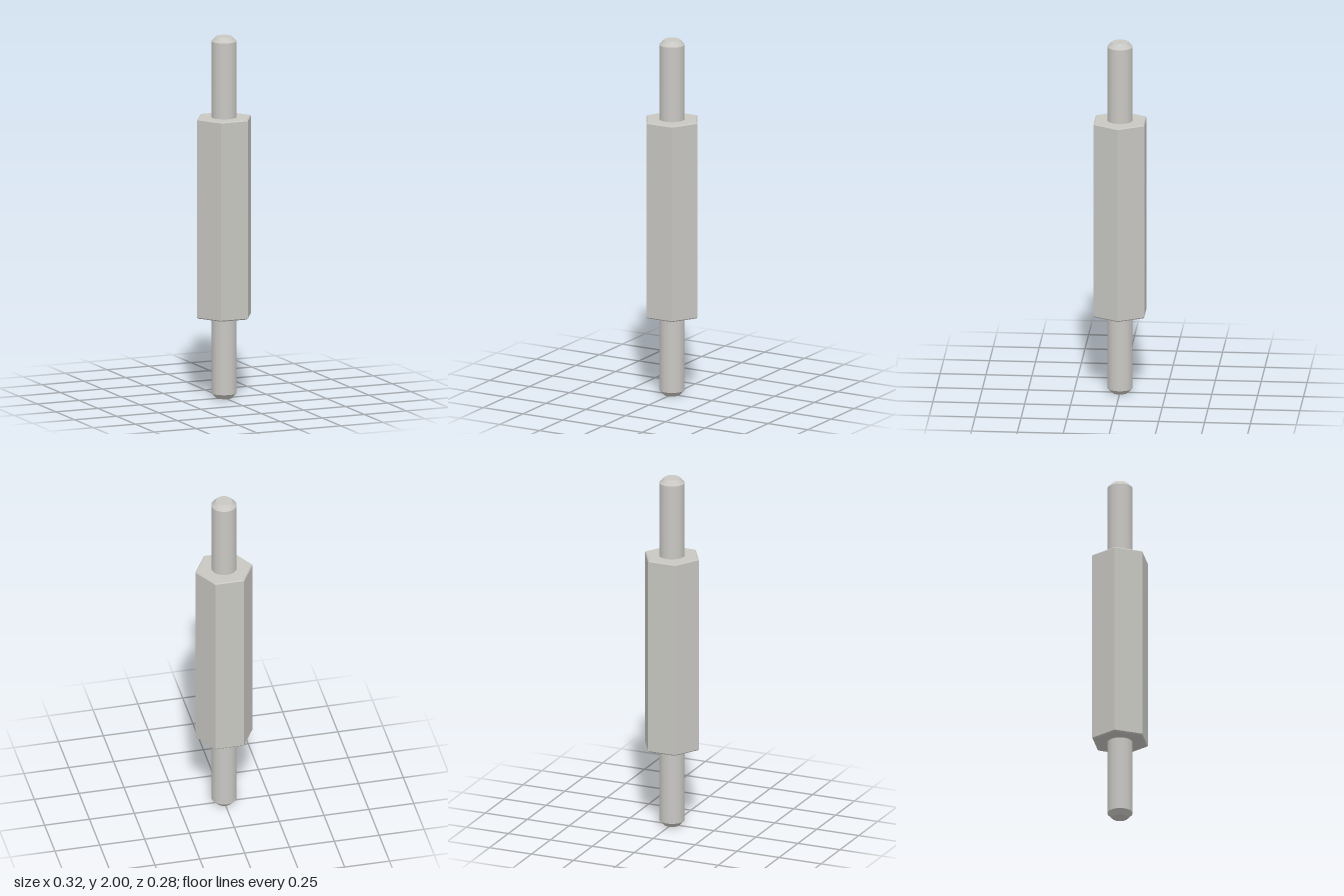
import * as THREE from 'three';
import { mergeGeometries } from 'three/addons/utils/BufferGeometryUtils.js';

// Revolve each profile segment separately so edges along the profile stay crisp
function revolve(profile, sides, start = 0) {
  const bands = [];
  for (let i = 0; i < profile.length - 1; i++) {
    const pair = [profile[i], profile[i + 1]].map(([r, y]) => new THREE.Vector2(r, y));
    bands.push(new THREE.LatheGeometry(pair, sides, start));
  }
  return mergeGeometries(bands);
}

export function createModel() {
  const group = new THREE.Group();
  const steel = new THREE.MeshStandardMaterial({ color: 0xc8c7c2 });
  steel.name = 'steel';

  const add = (name, geometry) => {
    const mesh = new THREE.Mesh(geometry, steel);
    mesh.name = name;
    group.add(mesh);
  };

  const bodyBottom = 0.45, bodyTop = 1.553;
  const studR = 0.069, tipR = 0.043, studChamfer = 0.027;
  const hexR = 0.16, hexChamfer = 0.006;

  // Hexagonal body with corners on the x axis and fine chamfers at both ends
  const hex = revolve([
    [0, bodyBottom], [hexR - hexChamfer, bodyBottom], [hexR, bodyBottom + hexChamfer],
    [hexR, bodyTop - hexChamfer], [hexR - hexChamfer, bodyTop], [0, bodyTop],
  ], 6, Math.PI / 6).toNonIndexed();
  hex.computeVertexNormals();
  add('hexBody', hex);

  // Round studs with chamfered tips
  add('lowerStud', revolve([
    [0, 0], [tipR, 0], [studR, studChamfer], [studR, bodyBottom],
  ], 64));
  add('upperStud', revolve([
    [studR, bodyTop], [studR, 2 - studChamfer], [tipR, 2], [0, 2],
  ], 64));

  return group;
}
